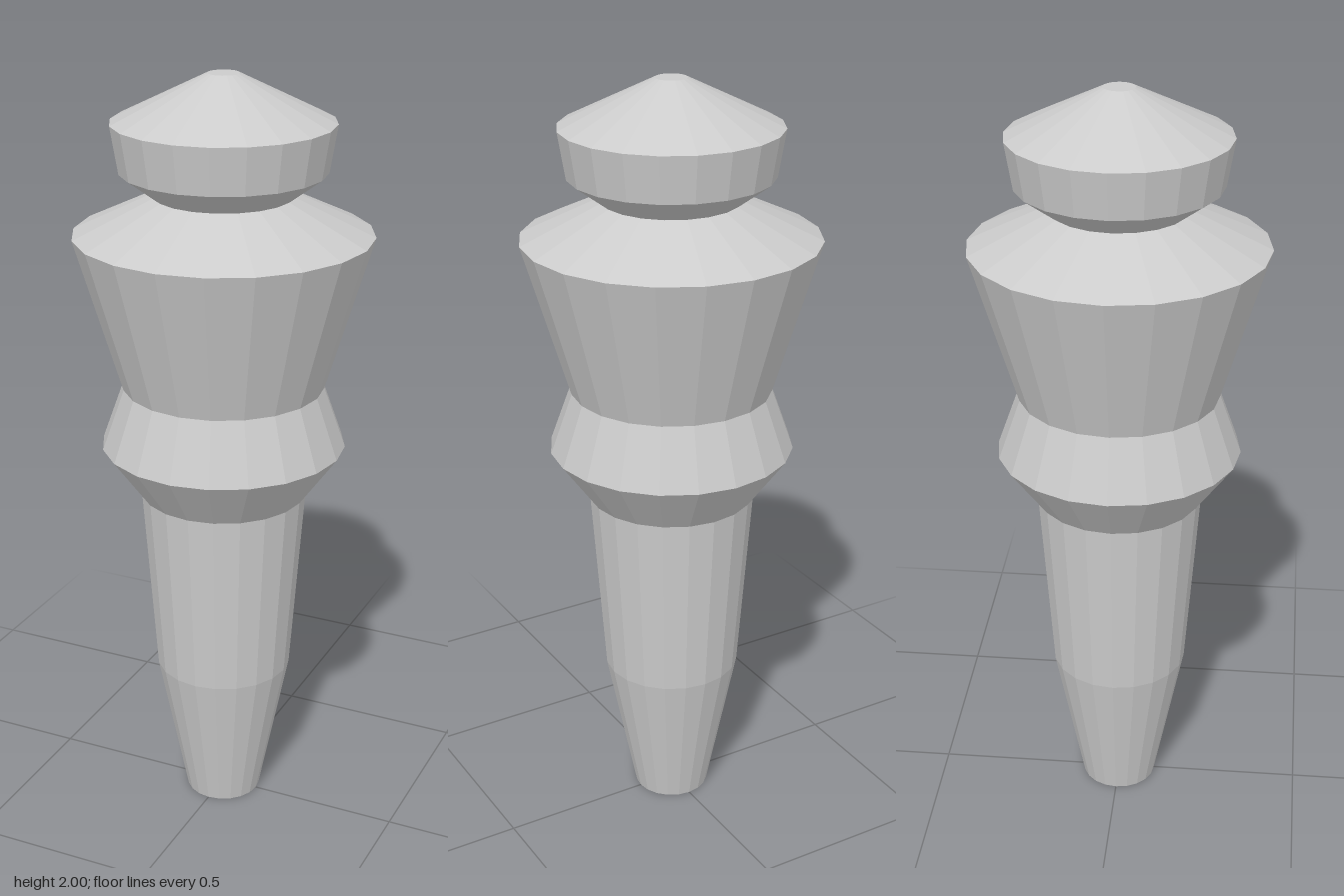
import * as THREE from 'three';

const SIDES = 20;

// Each part is a faceted turned section: [radius, height] from bottom to top.
// Neighbouring sections share a ring, so together they form one closed skin.
const SECTIONS = {
  shaft: [[0, 0], [0.1, 0], [0.18, 0.4], [0.217, 0.905]],
  collar: [[0.217, 0.905], [0.317, 1.043], [0.26, 1.203]],
  body: [[0.26, 1.203], [0.38, 1.603], [0.176, 1.7]],
  cap: [[0.176, 1.7], [0.26, 1.762], [0.28, 1.882], [0.04, 2], [0, 2]],
};

export function createModel() {
  const model = new THREE.Group();
  model.name = 'turnedPeg';
  const material = new THREE.MeshStandardMaterial({ color: 0xcccccc, flatShading: true });

  for (const [name, profile] of Object.entries(SECTIONS)) {
    const points = profile.map(([r, y]) => new THREE.Vector2(r, y));
    const mesh = new THREE.Mesh(new THREE.LatheGeometry(points, SIDES), material);
    mesh.name = name;
    model.add(mesh);
  }
  return model;
}
